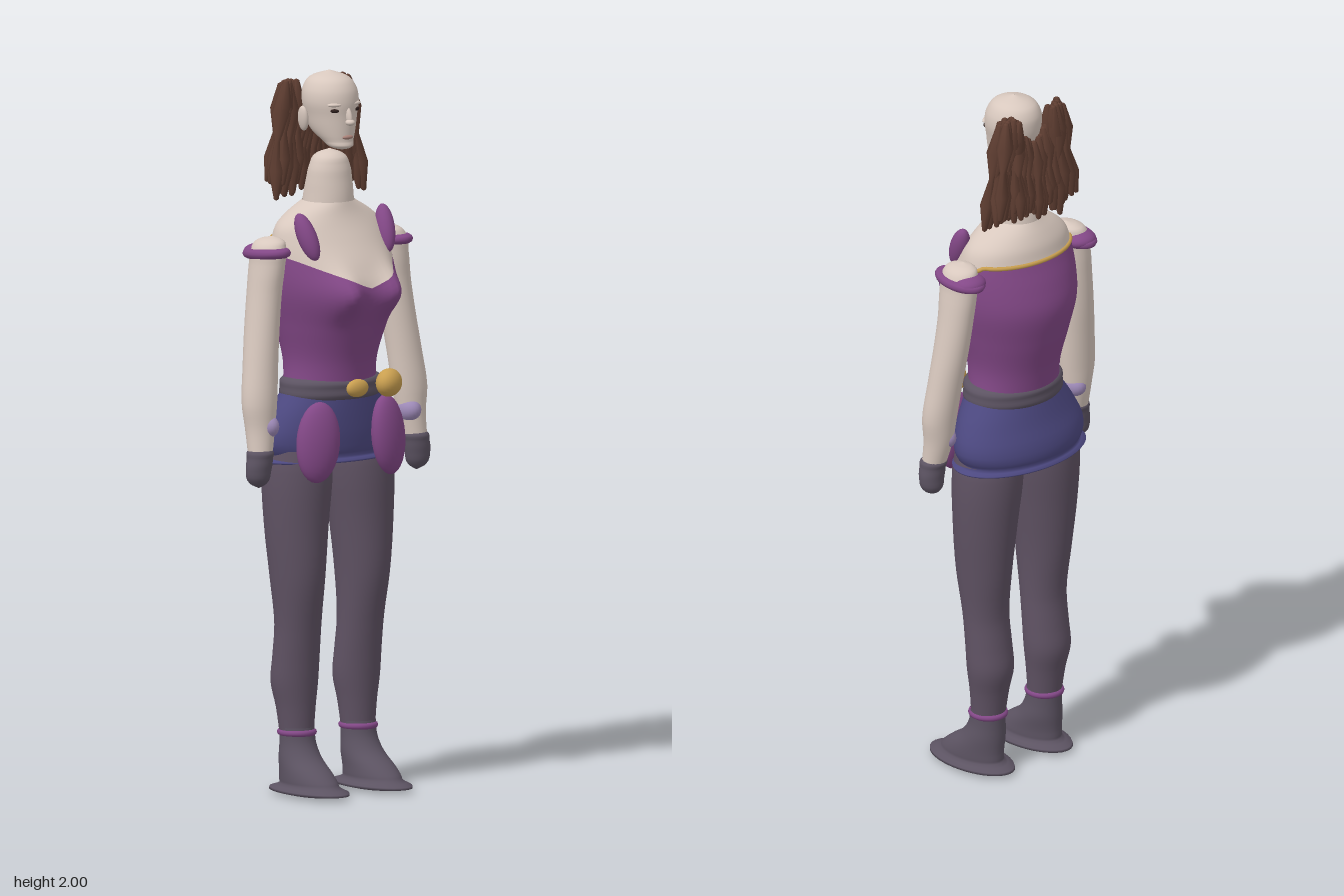
import * as THREE from 'three';

const mat = (name, color) => {
  const m = new THREE.MeshStandardMaterial({ color });
  m.name = name;
  m.side = THREE.DoubleSide;
  return m;
};

// Smooth grid surface that closes around its axis; point(angle, row) returns [x, y, z]
function ringSurface(point, rows, sides) {
  const pos = [], index = [];
  for (let j = 0; j < rows; j++)
    for (let i = 0; i < sides; i++) pos.push(...point((i / sides) * Math.PI * 2, j));
  for (let j = 0; j < rows - 1; j++)
    for (let i = 0; i < sides; i++) {
      const a = j * sides + i, b = j * sides + ((i + 1) % sides);
      index.push(a, a + sides, b, b, a + sides, b + sides);
    }
  const g = new THREE.BufferGeometry();
  g.setAttribute('position', new THREE.Float32BufferAttribute(pos, 3));
  g.setIndex(index);
  g.computeVertexNormals();
  return g;
}

// Vertical loft through elliptical sections [y, centreX, centreZ, radiusX, radiusZ], lowest first
function loft(sections, sides = 28, steps = 4, flip = 1) {
  const ys = sections.map((s) => s[0]);
  const curve = new THREE.CubicInterpolant(ys, sections.flatMap((s) => s.slice(1)), 4);
  const heights = [];
  for (let k = 0; k < ys.length - 1; k++)
    for (let n = 0; n < steps; n++) heights.push(ys[k] + ((ys[k + 1] - ys[k]) * n) / steps);
  heights.push(ys[ys.length - 1]);
  const rings = heights.map((y) => [...curve.evaluate(y)]);
  return ringSurface((a, j) => {
    const [cx, cz, rx, rz] = rings[j];
    return [flip * cx + Math.cos(a) * Math.max(rx, 0.0005), heights[j], cz + Math.sin(a) * Math.max(rz, 0.0005)];
  }, heights.length, sides);
}

// Trunk sections: height, half width, front z, back z
const trunk = [
  [1.10, 0.14, 0.085, -0.13], [1.20, 0.133, 0.10, -0.145], [1.30, 0.155, 0.135, -0.172],
  [1.40, 0.18, 0.165, -0.19], [1.47, 0.184, 0.135, -0.175], [1.54, 0.176, 0.09, -0.15],
  [1.58, 0.16, 0.065, -0.14], [1.61, 0.125, 0.05, -0.125], [1.64, 0.072, 0.04, -0.105],
];
const trunkCurve = new THREE.CubicInterpolant(trunk.map((s) => s[0]), trunk.flatMap((s) => s.slice(1)), 3);

function trunkPoint(a, y) {
  const [rx, front, back] = trunkCurve.evaluate(y);
  const x = rx * Math.cos(a), s = Math.sin(a), cz = -0.03;
  let z = cz + (s > 0 ? s * (front - cz) : s * (cz - back));
  if (s > 0) z += 0.045 * Math.exp(-(((y - 1.4) / 0.06) ** 2)) * Math.exp(-(((Math.abs(x) - 0.08) / 0.04) ** 2));
  return [x, y, z];
}

// Top edge of the bodice: dips in front, high at the back
const neckline = (a) => {
  const s = Math.sin(a), c = Math.abs(Math.cos(a));
  return s > 0 ? 1.415 + 0.085 * c ** 1.2 : 1.5 + 0.04 * Math.min(1, -s * 3);
};

export function createModel() {
  const skin = mat('skin', 0xd8c8be), purple = mat('purple cloth', 0x834887), blue = mat('blue cloth', 0x4c4880);
  const leggings = mat('dark leggings', 0x5f5263), grey = mat('grey leather', 0x5c5362), gold = mat('gold', 0xc99f50);
  const hair = mat('brown hair', 0x5e3d31), lilac = mat('lilac cloth', 0xa08cba);
  const dark = mat('eye dark', 0x30211f), lip = mat('lip', 0xa98279);

  const model = new THREE.Group();
  const add = (name, geometry, material) => {
    const mesh = new THREE.Mesh(geometry, material);
    mesh.name = name;
    model.add(mesh);
    return mesh;
  };
  const ball = (name, material, p, r, rot = [0, 0, 0]) => {
    const m = add(name, new THREE.SphereGeometry(1, 24, 16), material);
    m.position.set(...p);
    m.scale.set(...r);
    m.rotation.set(...rot);
    return m;
  };
  const ring = (name, material, p, rx, rz, tube, stretch = 1) => {
    const g = new THREE.TorusGeometry(1, tube / rx, 10, 36).rotateX(Math.PI / 2);
    const m = add(name, g, material);
    m.position.set(...p);
    m.scale.set(rx, rx * stretch, rz);
    return m;
  };

  // Bodice, and the bare chest and shoulders above its neckline
  add('bodice', ringSurface((a, j) => trunkPoint(a, 1.1 + (neckline(a) - 1.1) * (j / 28)), 29, 64), purple);
  add('chest', ringSurface((a, j) => trunkPoint(a, neckline(a) + (1.64 - neckline(a)) * (j / 20)), 21, 64), skin);
  const trim = [];
  for (let i = 0; i <= 24; i++) {
    const a = Math.PI + (Math.PI * i) / 24;
    trim.push(new THREE.Vector3(...trunkPoint(a, Math.max(neckline(a), 1.525))));
  }
  add('backTrim', new THREE.TubeGeometry(new THREE.CatmullRomCurve3(trim), 48, 0.006, 8), gold);

  // Neck and head
  add('neck', loft([
    [1.62, 0, -0.033, 0.072, 0.074], [1.66, 0, -0.031, 0.068, 0.07], [1.70, 0, -0.028, 0.064, 0.062],
    [1.74, 0, -0.026, 0.056, 0.053], [1.77, 0, -0.026, 0.035, 0.035], [1.782, 0, -0.026, 0.001, 0.001],
  ]), skin);
  add('head', loft([
    [1.785, 0, 0.03, 0.001, 0.001], [1.79, 0, 0.028, 0.024, 0.024], [1.81, 0, 0.01, 0.042, 0.045],
    [1.84, 0, -0.012, 0.058, 0.069], [1.88, 0, -0.02, 0.068, 0.078], [1.92, 0, -0.023, 0.076, 0.083],
    [1.96, 0, -0.026, 0.068, 0.075], [1.985, 0, -0.027, 0.045, 0.05], [2.0, 0, -0.027, 0.001, 0.001],
  ], 40), skin);
  ball('noseBridge', skin, [0, 1.882, 0.059], [0.008, 0.026, 0.012], [-0.3, 0, 0]);
  ball('noseTip', skin, [0, 1.864, 0.066], [0.013, 0.009, 0.014]);
  ball('lips', lip, [0, 1.822, 0.055], [0.018, 0.006, 0.008]);

  // Belt, buckle, pouch and shorts
  add('belt', loft([
    [1.095, 0, -0.022, 0.14, 0.1], [1.102, 0, -0.022, 0.15, 0.114], [1.128, 0, -0.022, 0.152, 0.117],
    [1.15, 0, -0.022, 0.147, 0.114], [1.156, 0, -0.022, 0.135, 0.1],
  ], 48), grey);
  ball('buckle', gold, [0, 1.13, 0.098], [0.036, 0.025, 0.018]);
  ball('pouch', gold, [0.11, 1.135, 0.098], [0.048, 0.039, 0.034], [0, 0.5, 0]);
  add('shorts', loft([
    [0.915, 0, -0.045, 0.001, 0.001], [0.92, 0, -0.045, 0.165, 0.1], [0.94, 0, -0.047, 0.195, 0.12],
    [0.98, 0, -0.045, 0.215, 0.127], [1.05, 0, -0.032, 0.193, 0.118], [1.12, 0, -0.022, 0.148, 0.108],
  ], 48), blue);

  // Paired parts: left is +x
  for (const s of [1, -1]) {
    const side = s > 0 ? 'left' : 'right';
    ball(side + 'Eye', dark, [s * 0.037, 1.897, 0.045], [0.013, 0.006, 0.007], [0, s * 0.4, 0]);
    ball(side + 'Brow', skin, [s * 0.036, 1.913, 0.044], [0.022, 0.006, 0.01], [0, s * 0.4, 0]);
    ball(side + 'Ear', skin, [s * 0.077, 1.87, -0.045], [0.011, 0.036, 0.02], [0.15, 0, -s * 0.15]);
    ball(side + 'ShoulderPad', purple, [s * 0.136, 1.556, 0.048], [0.026, 0.07, 0.029], [-0.42, 0, -s * 0.15]);
    ball(side + 'HipPad', purple, [s * 0.122, 0.988, 0.079], [0.063, 0.112, 0.037], [-0.06, s * 0.3, s * 0.1]);

    add(side + 'Arm', loft([
      [0.96, 0.27, 0.01, 0.034, 0.033], [1.03, 0.263, 0, 0.042, 0.04], [1.1, 0.262, -0.004, 0.051, 0.045],
      [1.2, 0.251, -0.014, 0.05, 0.047], [1.3, 0.238, -0.024, 0.048, 0.05], [1.4, 0.225, -0.03, 0.046, 0.053],
      [1.48, 0.215, -0.03, 0.045, 0.058], [1.53, 0.208, -0.03, 0.042, 0.054], [1.55, 0.2, -0.03, 0.024, 0.032],
      [1.556, 0.196, -0.03, 0.001, 0.001],
    ], 28, 4, s), skin);
    const band = ring(side + 'ArmBand', purple, [s * 0.213, 1.51, -0.034], 0.04, 0.062, 0.014);
    band.rotation.x = -0.08;
    ball(side + 'BandPuff', purple, [s * 0.21, 1.51, -0.07], [0.046, 0.024, 0.042]);
    ball(side + 'WristCuff', lilac, [s * 0.248, 1.037, 0.003], [0.033, 0.036, 0.048]);
    add(side + 'Glove', loft([
      [0.868, 0.275, 0.01, 0.001, 0.001], [0.88, 0.277, 0.01, 0.023, 0.022], [0.92, 0.277, 0.012, 0.037, 0.033],
      [0.95, 0.273, 0.012, 0.037, 0.035], [0.972, 0.27, 0.01, 0.034, 0.034], [0.978, 0.27, 0.01, 0.02, 0.02],
    ], 24, 4, s), grey);

    add(side + 'Leg', loft([
      [0.15, 0.107, -0.035, 0.046, 0.045], [0.24, 0.107, -0.04, 0.056, 0.053], [0.31, 0.108, -0.045, 0.067, 0.063],
      [0.38, 0.108, -0.038, 0.067, 0.062], [0.47, 0.109, -0.028, 0.066, 0.063], [0.6, 0.113, -0.025, 0.074, 0.081],
      [0.75, 0.113, -0.03, 0.088, 0.092], [0.9, 0.107, -0.034, 0.097, 0.1], [0.96, 0.105, -0.035, 0.09, 0.095],
    ], 32, 4, s), leggings);
    add(side + 'Boot', loft([
      [0, 0.11, 0.022, 0.001, 0.001], [0.004, 0.11, 0.023, 0.055, 0.1], [0.03, 0.11, 0.025, 0.061, 0.109],
      [0.06, 0.11, 0.011, 0.06, 0.094], [0.1, 0.108, -0.018, 0.056, 0.066], [0.14, 0.107, -0.031, 0.05, 0.052],
      [0.185, 0.107, -0.035, 0.049, 0.048],
    ], 32, 4, s), grey);
    ring(side + 'AnkleBand', purple, [s * 0.107, 0.17, -0.035], 0.045, 0.047, 0.009);
  }

  // Hair locks: two high bunches and a lower fringe across the back
  let seed = 7;
  const rnd = () => ((seed = (seed * 16807) % 2147483647) / 2147483647);
  const lock = (x0, y0, z0, x1, y1, z1, r) => {
    const xm = (x0 + x1) / 2 + (rnd() - 0.5) * 0.012, zm = (z0 + z1) / 2 + (rnd() - 0.5) * 0.012;
    add('hairLock', loft([
      [y1, x1, z1, 0.001, 0.001], [y1 + 0.004, x1, z1, r * 0.8, r * 0.8], [(y0 + y1) / 2, xm, zm, r, r],
      [y0 - 0.004, x0, z0, r, r], [y0, x0, z0, 0.001, 0.001],
    ], 8, 2), hair);
  };
  for (const s of [1, -1])
    for (let i = 0; i < 18; i++) {
      const t = i / 17;
      lock(s * (0.062 + 0.052 * t), 1.965 + rnd() * 0.01, -0.078 - rnd() * 0.035,
        s * (0.072 + 0.078 * t), 1.64 + rnd() * 0.06, -0.065 - rnd() * 0.065, 0.0085);
    }
  for (let i = 0; i < 13; i++) {
    const x = -0.066 + 0.011 * i;
    lock(x * 0.9, 1.865 + Math.abs(x) * 0.8 + rnd() * 0.02, -0.104 + Math.abs(x) * 0.1,
      x * 1.1, 1.65 + rnd() * 0.05, -0.118 - rnd() * 0.012, 0.0085);
  }
  return model;
}
